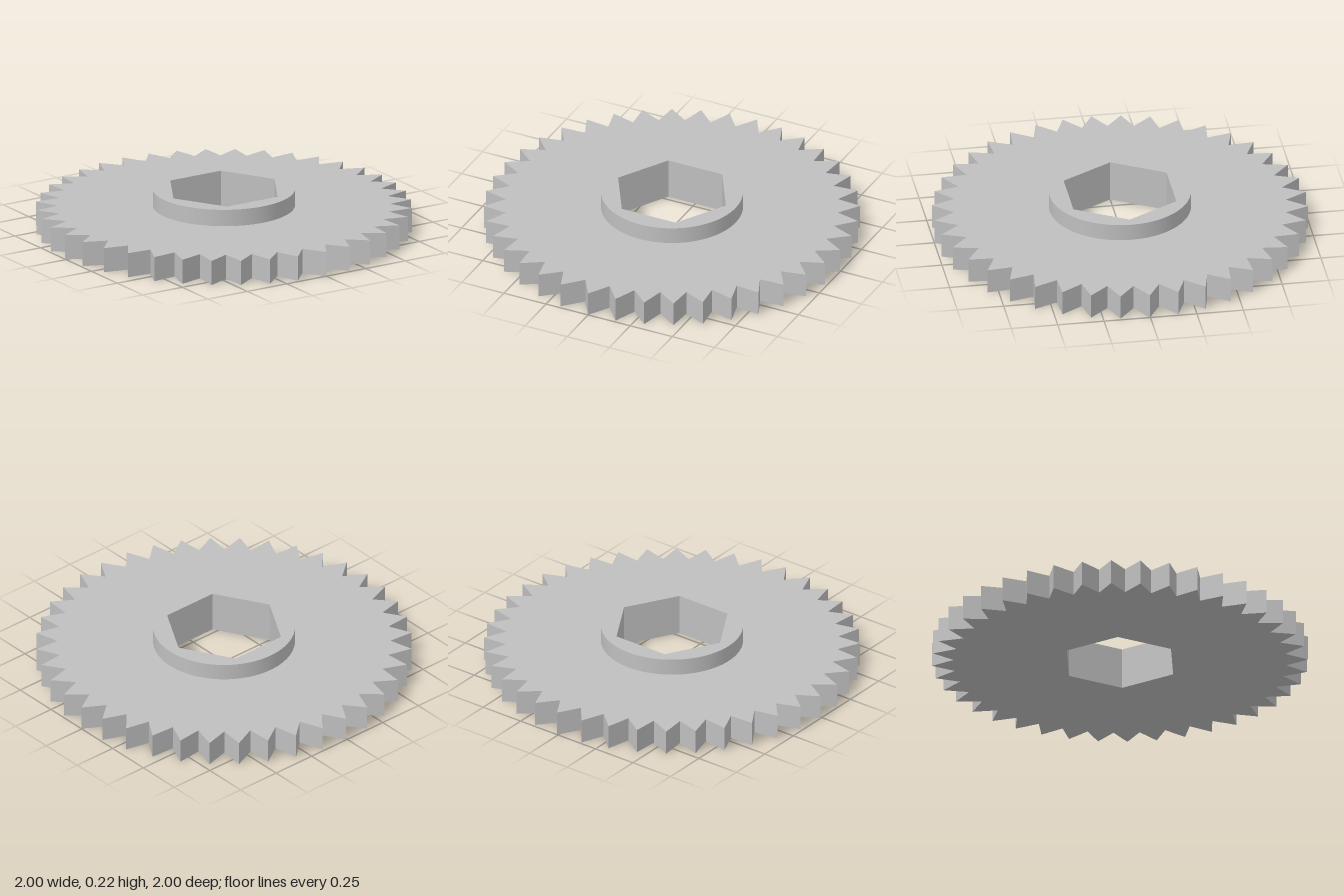
import * as THREE from 'three';
import { toCreasedNormals } from 'three/addons/utils/BufferGeometryUtils.js';

const TEETH = 40, STEEP = THREE.MathUtils.degToRad(8.98);
const TIP = 1, ROOT = 0.885;
const HUB_RADIUS = 0.378, BORE_RADIUS = 0.32;
const PLATE_TOP = 0.134, HUB_TOP = 0.225;

// Point at angle a, measured from the front towards +x
const polar = (r, a) => new THREE.Vector2(r * Math.sin(a), -r * Math.cos(a));

// Hexagonal bore with corners on the x axis
function hexHole() {
  const points = [];
  for (let i = 0; i < 6; i++) points.push(polar(BORE_RADIUS, Math.PI / 2 - (i * Math.PI) / 3));
  return new THREE.Path(points);
}

// Upright slab of an outline, pierced by the bore
function slab(points, bottom, top) {
  const shape = new THREE.Shape(points);
  shape.holes.push(hexHole());
  const geometry = new THREE.ExtrudeGeometry(shape, { depth: top - bottom, bevelEnabled: false });
  geometry.rotateX(-Math.PI / 2);
  geometry.translate(0, bottom, 0);
  return toCreasedNormals(geometry, 0.3);
}

export function createModel() {
  const group = new THREE.Group();
  group.name = 'gear';
  const metal = new THREE.MeshStandardMaterial({ color: 0xbfbfbf });
  metal.name = 'grey metal';

  // Toothed plate: the tooth pitch is a hair short, so the last gap is wider
  const outline = [];
  for (let i = 0; i < TEETH; i++) {
    const tip = i * STEEP;
    const next = i === TEETH - 1 ? Math.PI * 2 : tip + STEEP;
    outline.push(polar(TIP, tip), polar(ROOT, (tip + next) / 2));
  }
  const plate = new THREE.Mesh(slab(outline, 0, PLATE_TOP), metal);
  plate.name = 'toothedPlate';

  // Round raised hub
  const circle = [];
  for (let i = 0; i < 96; i++) circle.push(polar(HUB_RADIUS, (i / 96) * Math.PI * 2));
  const hub = new THREE.Mesh(slab(circle, PLATE_TOP, HUB_TOP), metal);
  hub.name = 'hub';

  group.add(plate, hub);
  return group;
}
